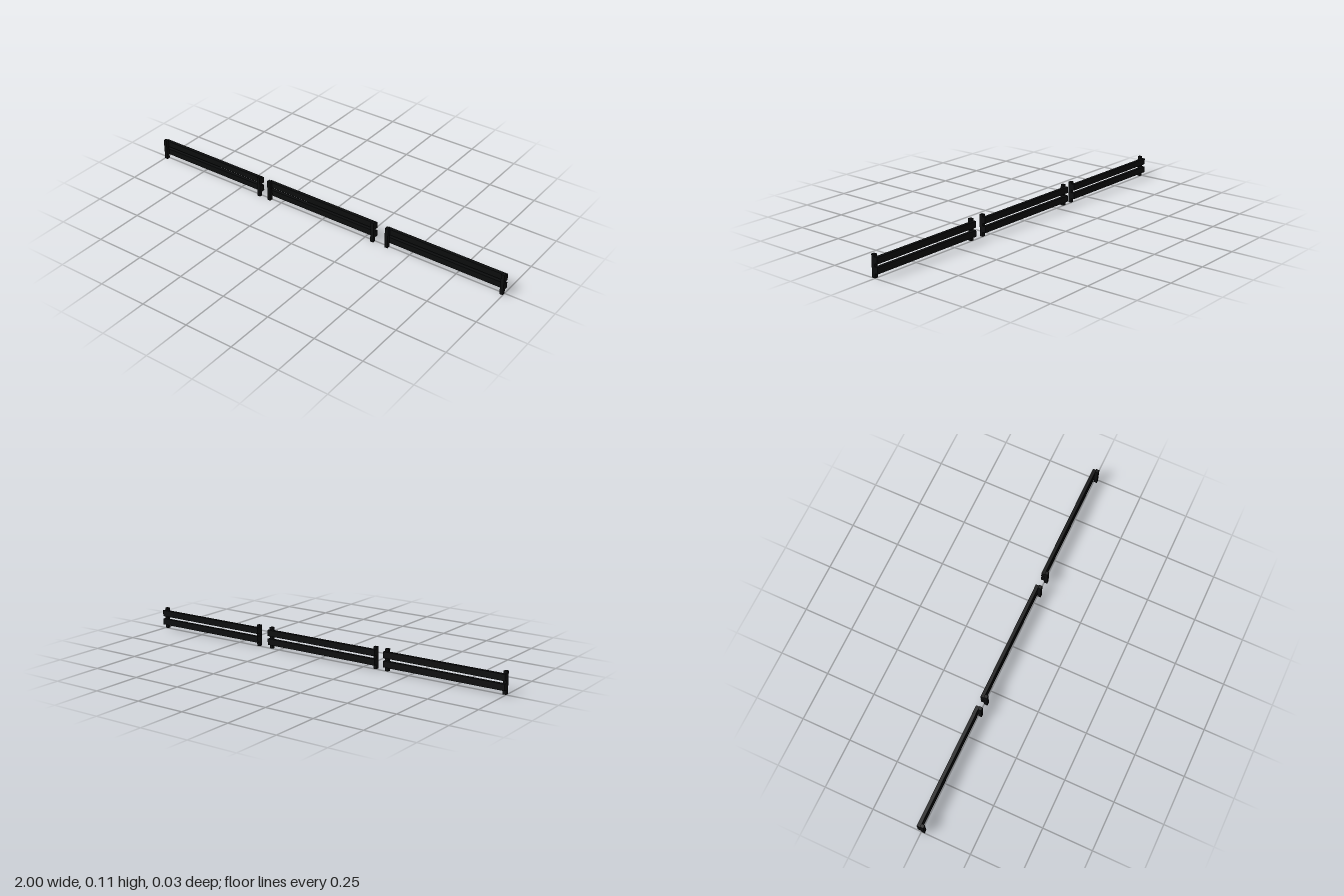
import * as THREE from 'three';

const LENGTH = 0.63;  // one fence section
const DEPTH = 0.017;  // thickness of posts and rails

export function createModel() {
  const model = new THREE.Group();
  model.name = 'fence';
  const paint = new THREE.MeshStandardMaterial({ color: 0x0c0d0e });

  const addBox = (parent, name, size, position) => {
    const mesh = new THREE.Mesh(new THREE.BoxGeometry(...size), paint);
    mesh.name = name;
    mesh.position.set(...position);
    parent.add(mesh);
  };

  // Three separate sections with slightly uneven gaps
  [-0.685, -0.008, 0.685].forEach((x, i) => {
    const section = new THREE.Group();
    section.name = `fenceSection${i + 1}`;
    section.position.x = x;

    // End posts stand in front of the rails
    for (const [name, side] of [['rightPost', -1], ['leftPost', 1]]) {
      addBox(section, name, [DEPTH, 0.108, DEPTH],
        [side * (LENGTH - DEPTH) / 2, 0.054, DEPTH / 2]);
    }
    // Two horizontal rails behind the posts, flush with their outer sides
    for (const [name, y] of [['lowerRail', 0.037], ['upperRail', 0.082]]) {
      addBox(section, name, [LENGTH, 0.031, DEPTH], [0, y, -DEPTH / 2]);
    }
    model.add(section);
  });
  return model;
}
